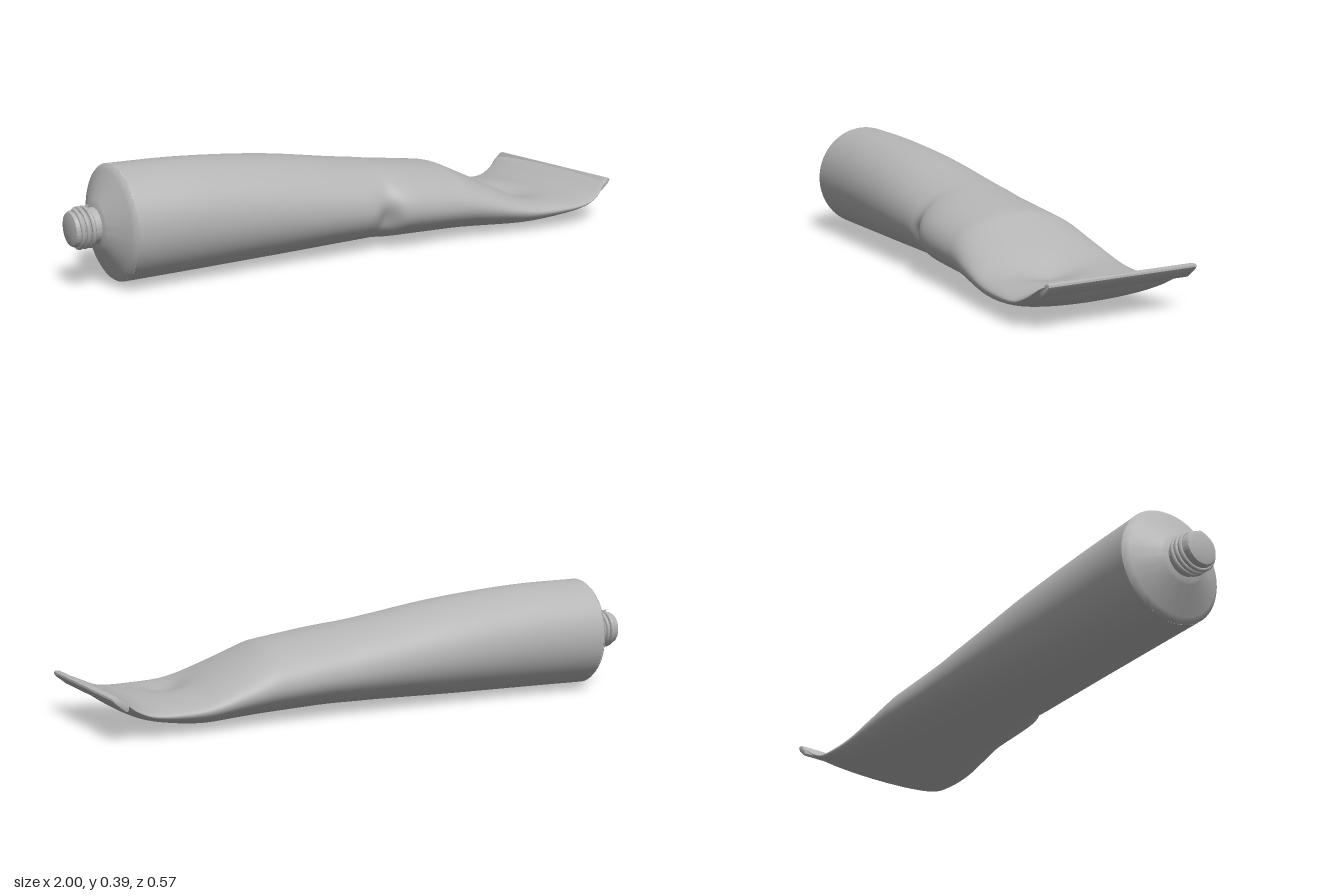
import * as THREE from 'three';
import { toCreasedNormals } from 'three/addons/utils/BufferGeometryUtils.js';

// Tube stations: x, top y, bottom y, y of the widest line, back z, front z
const STATIONS = [
  [-0.85, 0.389, 0.015, 0.202, -0.186, 0.187],
  [-0.6, 0.38, 0.015, 0.195, -0.188, 0.194],
  [-0.3, 0.35, 0.016, 0.175, -0.2, 0.202],
  [0.0, 0.3, 0.02, 0.15, -0.209, 0.209],
  [0.06, 0.291, 0.02, 0.145, -0.211, 0.209],
  [0.11, 0.283, 0.019, 0.14, -0.213, 0.228],
  [0.18, 0.273, 0.018, 0.135, -0.216, 0.238],
  [0.35, 0.246, 0.012, 0.12, -0.23, 0.243],
  [0.38, 0.239, 0.011, 0.117, -0.234, 0.246],
  [0.41, 0.226, 0.01, 0.113, -0.237, 0.249],
  [0.5, 0.183, 0.006, 0.096, -0.246, 0.261],
  [0.62, 0.13, 0.003, 0.073, -0.256, 0.274],
  [0.72, 0.113, 0.014, 0.067, -0.26, 0.282],
  [0.83, 0.104, 0.04, 0.073, -0.264, 0.286],
  [0.89, 0.12, 0.072, 0.096, -0.272, 0.28],
  [0.935, 0.14, 0.115, 0.127, -0.284, 0.262],
  [0.968, 0.146, 0.134, 0.14, -0.287, 0.254],
];

// Smooth interpolation of every station column
function sectionAt(x) {
  let i = 0;
  while (i < STATIONS.length - 2 && x > STATIONS[i + 1][0]) i++;
  const slope = (k, c) => {
    const p = STATIONS[Math.max(k - 1, 0)], q = STATIONS[Math.min(k + 1, STATIONS.length - 1)];
    return (q[c] - p[c]) / (q[0] - p[0]);
  };
  const a = STATIONS[i], b = STATIONS[i + 1], h = b[0] - a[0], t = (x - a[0]) / h;
  return a.map((v, c) =>
    (2 * t ** 3 - 3 * t * t + 1) * v + (t ** 3 - 2 * t * t + t) * h * slope(i, c) +
    (3 * t * t - 2 * t ** 3) * b[c] + (t ** 3 - t * t) * h * slope(i + 1, c));
}

const bump = (d, w) => Math.exp(-((d / w) ** 2));
const skew = (x) => 0.104 * THREE.MathUtils.smoothstep(x, 0.45, 0.95);

// Squeezed body, lofted from round to flat
function bodyGeometry() {
  const rows = 150, cols = 72, pos = [], idx = [];
  const x0 = STATIONS[0][0], x1 = STATIONS[STATIONS.length - 1][0];
  for (let i = 0; i <= rows; i++) {
    const x = x0 + ((x1 - x0) * i) / rows;
    const [, top, bot, mid, back, front] = sectionAt(x);
    for (let j = 0; j < cols; j++) {
      const a = (j / cols) * Math.PI * 2, s = Math.sin(a), c = Math.cos(a);
      let y = mid + (s > 0 ? top - mid : mid - bot) * s;
      let z = (back + front) / 2 + ((front - back) / 2) * c;
      // thumb dent on the flattened top, pinch on the front side
      if (s > 0) y -= 0.03 * s * bump(x - 0.68, 0.07) * bump(z - 0.07, 0.1);
      if (c > 0) z -= 0.022 * bump(x - 0.06, 0.035) * bump(y - 0.12, 0.045);
      pos.push(x + skew(x) * z, y, z);
    }
  }
  for (let i = 0; i < rows; i++) {
    for (let j = 0; j < cols; j++) {
      const k = (j + 1) % cols, a = i * cols + j, b = a + cols, d = i * cols + k, e = d + cols;
      idx.push(a, b, d, b, e, d);
    }
  }
  // flat end
  for (let j = 1; j < cols - 1; j++) idx.push(rows * cols, rows * cols + j, rows * cols + j + 1);
  const g = new THREE.BufferGeometry();
  g.setAttribute('position', new THREE.Float32BufferAttribute(pos, 3));
  g.setIndex(idx);
  g.computeVertexNormals();
  return g;
}

export function createModel() {
  const group = new THREE.Group();
  const metal = new THREE.MeshStandardMaterial({ color: 0xb4b4b4 });
  metal.name = 'tube grey';
  const add = (name, geometry) => {
    const m = new THREE.Mesh(geometry, metal);
    m.name = name;
    group.add(m);
    return m;
  };
  const turned = (name, points) => {
    const g = new THREE.LatheGeometry(points.map(([x, r]) => new THREE.Vector2(r, x)), 64);
    const m = add(name, toCreasedNormals(g, 0.6));
    m.rotation.z = -Math.PI / 2;
    m.position.y = 0.202;
    return m;
  };

  add('tubeBody', bodyGeometry());

  // Conical shoulder with a soft rim
  turned('shoulder', [[-0.912, 0], [-0.912, 0.074], [-0.907, 0.082], [-0.866, 0.168], [-0.858, 0.181], [-0.85, 0.1868]]);

  // Neck with a rounded closed tip
  turned('neck', [[-1, 0], [-0.999, 0.04], [-0.995, 0.053], [-0.986, 0.058], [-0.905, 0.058]]);

  // Screw thread
  const turns = 3, helix = [];
  for (let i = 0; i <= turns * 24; i++) {
    const a = (i / 24) * Math.PI * 2;
    helix.push(new THREE.Vector3(-0.98 + (0.054 * i) / (turns * 24), 0.202 + 0.06 * Math.cos(a), 0.06 * Math.sin(a)));
  }
  add('thread', new THREE.TubeGeometry(new THREE.CatmullRomCurve3(helix), 160, 0.0075, 8));

  // Crimped strip folded under the flat end
  const profile = new THREE.Shape([
    [-0.046, -0.036], [-0.042, -0.041], [-0.034, -0.04], [-0.001, -0.013], [0.006, -0.003],
    [0.005, 0.003], [0, 0.006], [-0.012, 0.006], [-0.046, -0.024],
  ].map(([x, y]) => new THREE.Vector2(x, y)));
  const fold = new THREE.ExtrudeGeometry(profile, {
    depth: 0.53, bevelEnabled: true, bevelThickness: 0.005, bevelSize: 0.003, bevelOffset: -0.003, bevelSegments: 3,
  });
  fold.translate(0, 0, -0.282);
  const p = fold.attributes.position;
  for (let i = 0; i < p.count; i++) p.setX(i, p.getX(i) + 0.968 + 0.104 * p.getZ(i));
  p.needsUpdate = true;
  const strip = add('foldedEnd', toCreasedNormals(fold, 0.6));
  strip.position.y = 0.141;

  return group;
}
